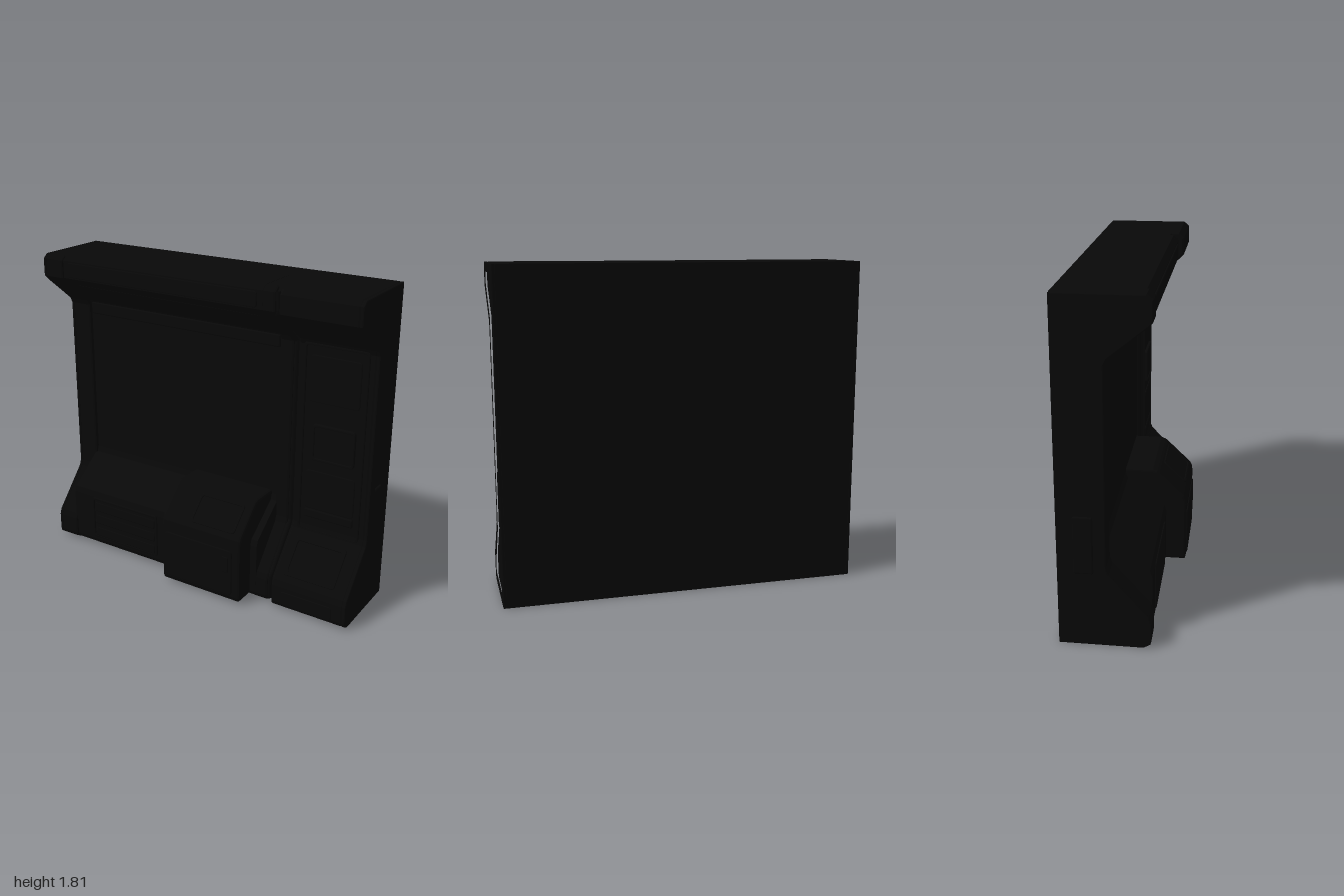
import * as THREE from 'three';
import { RoundedBoxGeometry } from 'three/addons/geometries/RoundedBoxGeometry.js';

const material = new THREE.MeshStandardMaterial({ color: 0x080808 });

// Extrudes a [z, y] profile along x from x0 to x1 with rounded ends
function extrudeX(points, x0, x1, bevel = 0.01, hole = null) {
  const toV = ([z, y]) => new THREE.Vector2(-z, y);
  const shape = new THREE.Shape(points.map(toV));
  if (hole) shape.holes.push(new THREE.Path(hole.map(toV)));
  const geo = new THREE.ExtrudeGeometry(shape, {
    depth: x1 - x0 - 2 * bevel, bevelEnabled: bevel > 0,
    bevelSize: bevel, bevelThickness: bevel, bevelOffset: -bevel, bevelSegments: 2,
  });
  geo.rotateY(Math.PI / 2);
  geo.translate(x0 + bevel, 0, 0);
  return geo;
}

// Rounded rectangle outline centred on the origin
function roundedRect(target, w, h, r) {
  const x = w / 2, y = h / 2;
  target.moveTo(-x + r, -y).lineTo(x - r, -y).quadraticCurveTo(x, -y, x, -y + r);
  target.lineTo(x, y - r).quadraticCurveTo(x, y, x - r, y);
  target.lineTo(-x + r, y).quadraticCurveTo(-x, y, -x, y - r);
  target.lineTo(-x, -y + r).quadraticCurveTo(-x, -y, -x + r, -y);
  return target;
}

// Cross-section of the wall: foot, ramp, upright wall and overhang
function wallProfile({ wall, front, rampTop, rampFoot, lip = front }) {
  return [
    [-0.29, 0], [front - 0.04, 0], [front - 0.005, 0.02], [front, 0.04],
    [front, rampFoot - 0.02], [front - 0.012, rampFoot + 0.015],
    [wall + 0.012, rampTop - 0.015], [wall, rampTop + 0.02],
    [wall, 1.48], [wall + 0.015, 1.51], [lip - 0.025, 1.66], [lip, 1.685],
    [lip, 1.785], [lip - 0.03, 1.81], [-0.29, 1.81],
  ];
}

export function createModel() {
  const group = new THREE.Group();
  const add = (name, geometry) => {
    const mesh = new THREE.Mesh(geometry, material);
    mesh.name = name;
    group.add(mesh);
    return mesh;
  };
  const box = (name, x0, x1, y0, y1, z0, z1, r = 0.008) => {
    const mesh = add(name, new RoundedBoxGeometry(x1 - x0, y1 - y0, z1 - z0, 2, r));
    mesh.position.set((x0 + x1) / 2, (y0 + y1) / 2, (z0 + z1) / 2);
    return mesh;
  };
  // Thin plate or rim lying on a surface, tilted about x
  const plate = (name, x0, x1, y, z, h, tilt = 0, rim = 0, depth = 0.01) => {
    const w = x1 - x0;
    const shape = roundedRect(new THREE.Shape(), w, h, 0.02);
    if (rim) shape.holes.push(roundedRect(new THREE.Path(), w - 2 * rim, h - 2 * rim, 0.015));
    const b = 0.004;
    const mesh = add(name, new THREE.ExtrudeGeometry(shape, {
      depth: depth - b, bevelSize: b, bevelThickness: b, bevelOffset: -b,
      bevelSegments: 2, curveSegments: 4,
    }));
    mesh.position.set((x0 + x1) / 2, y, z);
    mesh.rotation.x = tilt;
  };

  // Main wall sections
  const end = wallProfile({ wall: -0.045, front: 0.18, rampTop: 0.42, rampFoot: 0.16 });
  const bay = wallProfile({ wall: -0.065, front: 0.17, rampTop: 0.54, rampFoot: 0.35 });
  const rib = wallProfile({ wall: -0.05, front: 0.17, rampTop: 0.42, rampFoot: 0.16 });
  const channel = wallProfile({ wall: -0.075, front: 0.15, rampTop: 0.41, rampFoot: 0.15 });
  const column = wallProfile({ wall: -0.045, front: 0.19, rampTop: 0.42, rampFoot: 0.16, lip: 0.197 });
  add('leftPillar', extrudeX(end, -0.985, -0.86));
  add('centreBay', extrudeX(bay, -0.87, 0.44, 0));
  add('dividerRib', extrudeX(rib, 0.43, 0.515, 0.012));
  add('conduitChannel', extrudeX(channel, 0.5, 0.57, 0));
  add('equipmentColumn', extrudeX(column, 0.55, 0.985));
  box('backSlab', -0.985, 0.985, 0, 1.81, -0.29, -0.12, 0.004);

  // Framed, recessed side faces
  const sideHole = [
    [-0.23, 0.06], [0.11, 0.06], [0.12, 0.12], [-0.1, 0.39],
    [-0.1, 1.53], [0.1, 1.69], [0.1, 1.765], [-0.23, 1.765],
  ];
  for (const [side, profile] of [[-1, end], [1, column]]) {
    const x0 = side < 0 ? -1 : 0.98;
    add('sideFrame', extrudeX(profile, x0, x0 + 0.02, 0.005, sideHole));
    box('sideHatch', side < 0 ? -0.995 : 0.97, side < 0 ? -0.97 : 0.995, 0.4, 0.71, -0.21, -0.11);
  }

  // Bay header, sloped soffit panel and fascia
  box('bayHeader', -0.85, 0.43, 1.43, 1.5, -0.08, -0.048);
  plate('soffitPanel', -0.82, 0.4, 1.59, 0.038, 0.19, 0.95, 0.025, 0.009);
  plate('fasciaPanel', -0.83, 0.41, 1.735, 0.167, 0.085);

  // Conduit beside the rib, bent at the ramp and overhang
  const path = new THREE.CurvePath();
  const bends = [
    [0.03, 0.145], [0.155, 0.145], [0.42, -0.075], [1.48, -0.075], [1.67, 0.14], [1.79, 0.145],
  ].map(([y, z]) => new THREE.Vector3(0.515, y, z));
  for (let i = 1; i < bends.length; i++) path.add(new THREE.LineCurve3(bends[i - 1], bends[i]));
  add('conduit', new THREE.TubeGeometry(path, 80, 0.018, 10));

  // Equipment column panels
  plate('columnRim', 0.58, 0.95, 0.95, -0.046, 1.09, 0, 0.015);
  plate('columnScreenRim', 0.65, 0.9, 0.945, -0.046, 0.21, 0, 0.015, 0.018);
  plate('columnScreen', 0.655, 0.895, 0.945, -0.046, 0.2, 0, 0, 0.012);
  plate('upperColumnPlate', 0.62, 0.91, 1.3, -0.046, 0.26, 0, 0, 0.007);
  plate('lowerColumnPlate', 0.62, 0.91, 0.66, -0.046, 0.23, 0, 0, 0.007);
  box('columnLedge', 0.62, 0.91, 0.49, 0.54, -0.06, -0.035);
  plate('columnRampPanel', 0.6, 0.91, 0.285, 0.073, 0.23, -0.72, 0.022);
  plate('columnFootPanel', 0.61, 0.92, 0.075, 0.187, 0.085, 0, 0, 0.008);
  plate('columnSoffitPanel', 0.62, 0.92, 1.59, 0.063, 0.17, 0.95, 0.02, 0.008);

  // Slatted vent on the bay front
  plate('ventRim', -0.73, -0.24, 0.195, 0.168, 0.27, 0, 0.014);
  for (const y of [0.1, 0.185, 0.27]) {
    const slat = box('ventSlat', -0.71, -0.26, y - 0.03, y + 0.03, 0.155, 0.176, 0.008);
    slat.rotation.x = -0.15;
  }

  // Projecting cabinet with sloped top
  add('cabinet', extrudeX([
    [-0.08, 0.02], [0.28, 0.02], [0.286, 0.04], [0.286, 0.37], [0.282, 0.4], [0.27, 0.425],
    [0.13, 0.56], [0.115, 0.572], [0.09, 0.58], [-0.08, 0.58],
  ], -0.12, 0.4, 0.012));
  plate('cabinetDoor', -0.1, 0.35, 0.19, 0.284, 0.28, 0, 0, 0.009);
  plate('cabinetDisplayRim', 0.06, 0.35, 0.488, 0.2, 0.18, -0.8, 0.014, 0.009);
  box('doorHandle', 0.29, 0.33, 0.19, 0.29, 0.28, 0.297, 0.006);

  return group;
}
